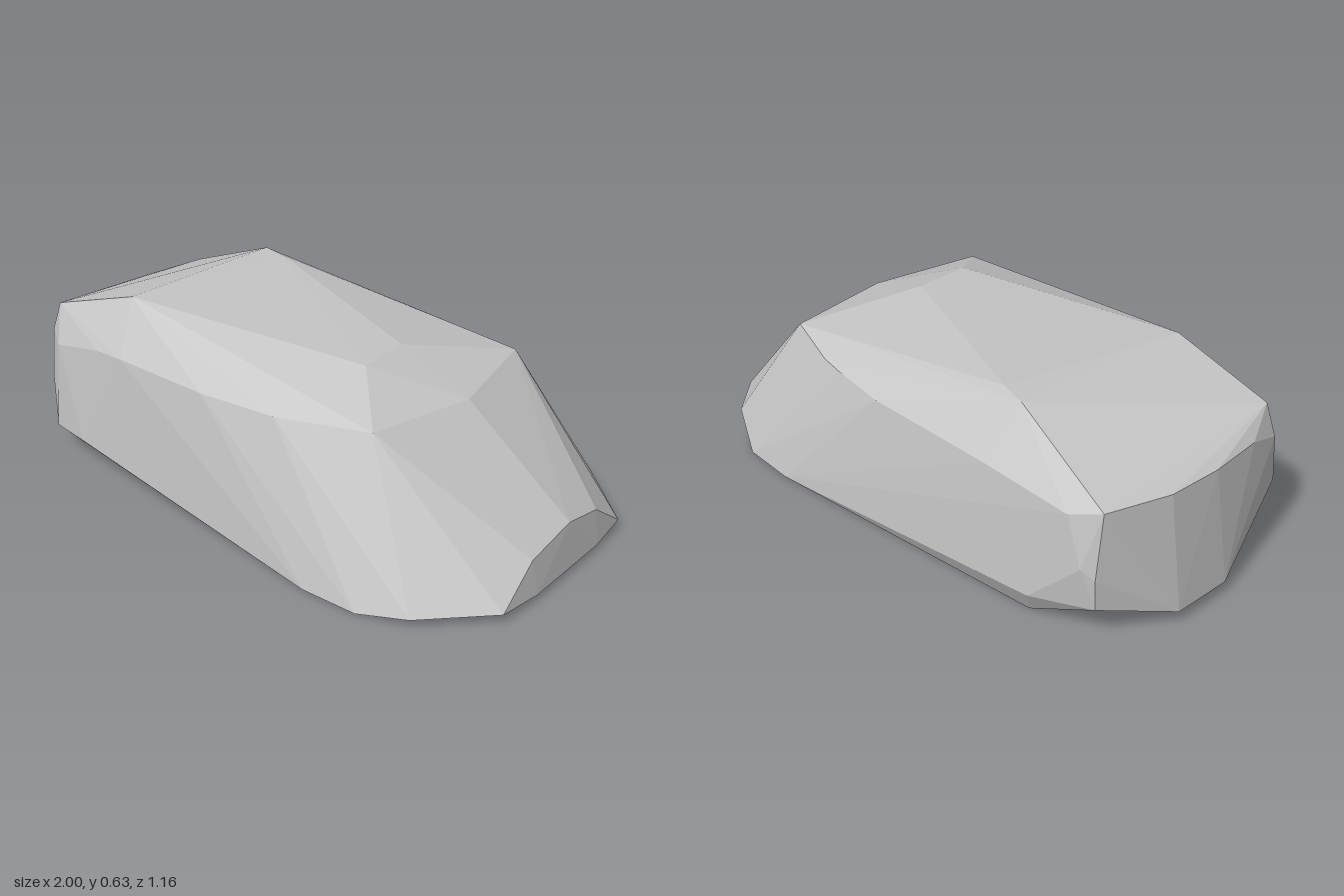
import * as THREE from 'three';
import { ConvexGeometry } from 'three/addons/geometries/ConvexGeometry.js';

// A faceted boulder: the convex hull of a few corner rings.
export function createModel() {
  const stone = new THREE.MeshStandardMaterial({ color: 0xc5c5c5, flatShading: true });
  stone.name = 'stone grey';

  // Corners near the mid line
  const middle = [
    [-0.96, 0.465, 0.03], [0.61, 0.48, 0], [0.98, 0.17, -0.02],
    [-1, 0.05, -0.14], [-1, 0.05, 0.07],
  ];
  // Corners that are the same on both sides
  const paired = [
    // flat base and tip
    [0.42, 0, 0.58], [0.62, 0, 0.58],
    [0.985, 0.03, 0.345], [1, 0.02, 0.18], [0.98, 0.137, 0.19],
    // rim and shoulder near the blunt end
    [-0.68, 0.09, 0.46], [-0.47, 0.46, 0.45],
  ];
  // Corners that differ from side to side
  const front = [
    [-0.65, 0, 0.25], [-0.85, 0.085, 0.425], [0.79, 0.03, 0.54],
    [-0.53, 0.63, 0.325], [-0.88, 0.525, 0.345], [-0.94, 0.465, 0.22],
    [-0.92, 0.42, 0.35], [-0.92, 0.25, 0.37], [-0.83, 0.4, 0.41],
    [-0.6, 0.45, 0.435], [-0.08, 0.465, 0.475], [0.21, 0.47, 0.46],
    [0.345, 0.58, 0.18], [0.53, 0.49, 0.385],
  ];
  const back = [
    [-0.65, 0, -0.42], [-0.9, 0.14, -0.4], [0.79, 0.07, -0.51],
    [-0.5, 0.63, -0.325], [-0.4, 0.63, -0.3], [-0.9, 0.475, -0.382],
    [-0.955, 0.465, -0.16], [-0.9, 0.25, -0.405], [-0.86, 0.28, -0.428],
    [-0.8, 0.44, -0.425], [0, 0.465, -0.48], [0.2, 0.468, -0.466],
    [0.31, 0.47, -0.452], [0.335, 0.58, -0.02], [0.53, 0.49, -0.395],
  ];
  const mirrored = paired.map(([x, y, z]) => [x, y, -z]);
  const corners = [...middle, ...paired, ...mirrored, ...front, ...back]
    .map((p) => new THREE.Vector3(...p));

  const boulder = new THREE.Mesh(new ConvexGeometry(corners), stone);
  boulder.name = 'boulder';

  const group = new THREE.Group();
  group.name = 'rock';
  group.add(boulder);
  return group;
}
